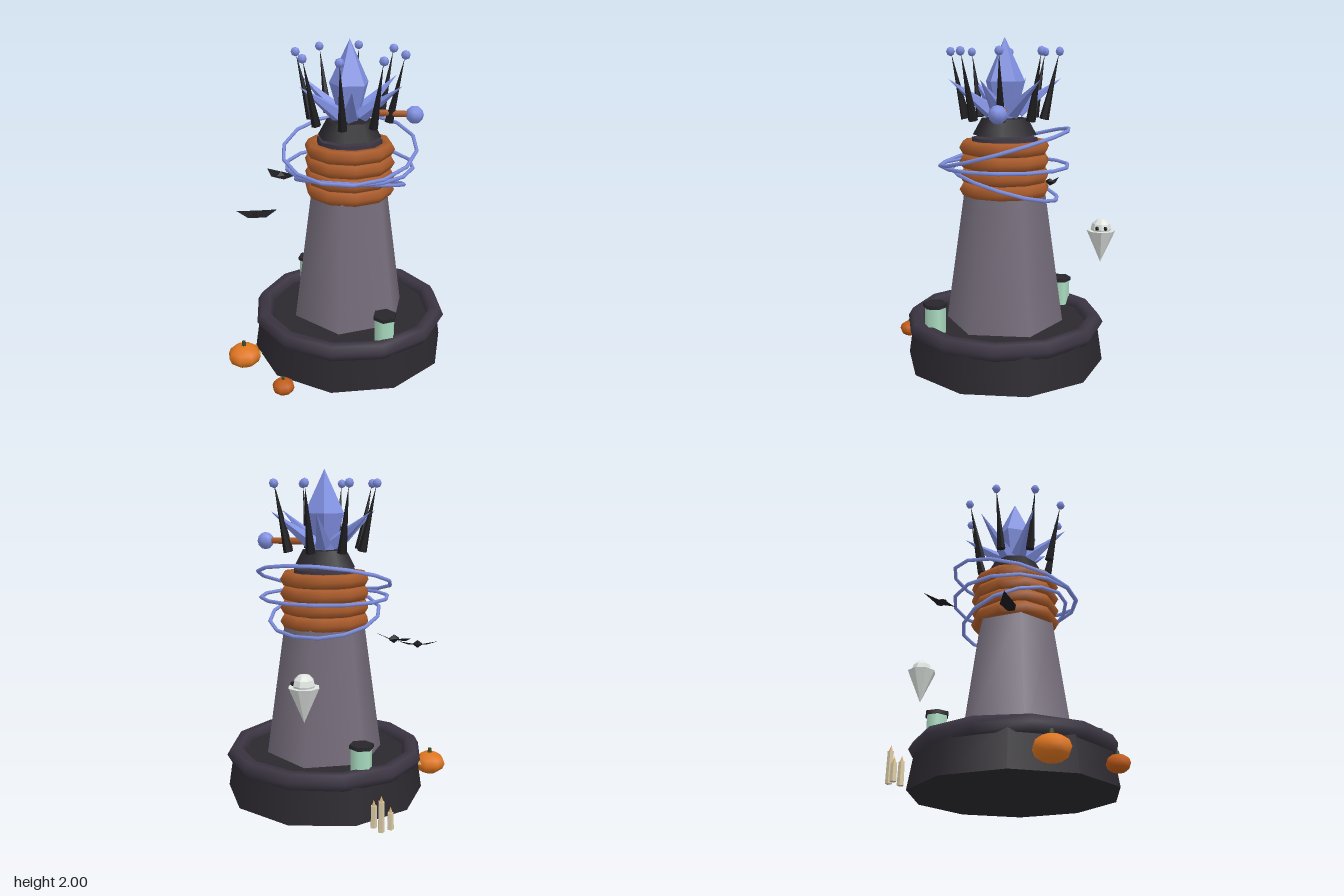
import * as THREE from 'three';

const AXIS = new THREE.Vector3(0.035, 0, -0.03); // tower axis
const UP = new THREE.Vector3(0, 1, 0);

const mat = (color, flatShading = false, side = THREE.FrontSide) =>
  new THREE.MeshStandardMaterial({ color, flatShading, side });
const M = {
  base: mat(0x2b282e), rim: mat(0x3b3542), stone: mat(0x756d7b),
  copper: mat(0xa85a2a), blue: mat(0x8090e2), crystal: mat(0x8090e2, true),
  black: mat(0x1c1b1f, true), lid: mat(0x28262b), jar: mat(0xaadcc0),
  pumpkin: mat(0xde751f), smallPumpkin: mat(0xbe5a17), stem: mat(0x3c4a25),
  glow: mat(0xd8b070, true), wax: mat(0xd8c8a4, true), ghost: mat(0xdfe4e0, true),
  bat: mat(0x1c1b1f, true, THREE.DoubleSide),
};

export function createModel() {
  const root = new THREE.Group();
  root.name = 'crystalTower';

  const add = (parent, name, geometry, material, x = 0, y = 0, z = 0) => {
    const mesh = new THREE.Mesh(geometry, material);
    mesh.name = name;
    mesh.position.set(x, y, z);
    parent.add(mesh);
    return mesh;
  };
  const group = (name, x = 0, y = 0, z = 0, parent = root) => {
    const g = new THREE.Group();
    g.name = name;
    g.position.set(x, y, z);
    parent.add(g);
    return g;
  };
  // frustum standing between two heights
  const frustum = (parent, name, material, rBottom, rTop, y0, y1, sides, x = 0, z = 0) =>
    add(parent, name, new THREE.CylinderGeometry(rTop, rBottom, y1 - y0, sides), material, x, (y0 + y1) / 2, z);
  // horizontal ring
  const ring = (parent, name, material, r, tube, y, radial, sides) => {
    const g = new THREE.TorusGeometry(r, tube, radial, sides);
    g.rotateX(Math.PI / 2);
    return add(parent, name, g, material, 0, y, 0);
  };
  // cone whose axis runs from a to b
  const spike = (parent, name, material, a, b, r, sides) => {
    const dir = b.clone().sub(a);
    const m = add(parent, name, new THREE.ConeGeometry(r, dir.length(), sides), material);
    m.position.copy(a).add(b).multiplyScalar(0.5);
    m.quaternion.setFromUnitVectors(UP, dir.normalize());
    return m;
  };
  const polar = (angle, r, y) => new THREE.Vector3(Math.cos(angle) * r, y, -Math.sin(angle) * r);

  const tower = group('tower', AXIS.x, 0, AXIS.z);

  // Plinth with its rim
  frustum(tower, 'plinth', M.base, 0.62, 0.582, 0, 0.25, 10);
  ring(tower, 'plinthRim', M.rim, 0.565, 0.055, 0.25, 6, 12);

  // Six-sided shaft, neck and cap
  frustum(tower, 'shaft', M.stone, 0.366, 0.25, 0.25, 1.07, 6);
  frustum(tower, 'neck', M.rim, 0.235, 0.2, 1.07, 1.405, 8);
  frustum(tower, 'cap', M.lid, 0.195, 0.14, 1.42, 1.52, 8);

  // Stacked coils
  for (let i = 0; i < 4; i++) ring(tower, 'coil', M.copper, 0.235, 0.045, 1.093 + i * 0.085, 6, 10);

  // Thin orbiting hoops: radius, height, tilt
  for (const [r, y, tilt] of [[0.41, 1.345, 0.275], [0.39, 1.235, 0], [0.34, 1.127, -0.285]])
    ring(tower, 'hoop', M.blue, r, 0.012, y, 5, 14).rotation.x = tilt;

  // Crown of spikes with a bead above each tip
  const crown = group('crown', 0, 0, 0, tower);
  for (let i = 0; i < 8; i++) {
    const a = (i * Math.PI) / 4;
    spike(crown, 'crownSpike', M.black, polar(a, 0.238, 1.515), polar(a, 0.322, 1.9), 0.029, 6);
    const p = polar(a, 0.327, 1.915);
    add(crown, 'crownBead', new THREE.SphereGeometry(0.028, 6, 4), M.blue, p.x, p.y, p.z);
  }

  // Main crystal and slanted shards around it
  const profile = [[0, 1.49], [0.055, 1.5], [0.125, 1.74], [0, 2]].map(([x, y]) => new THREE.Vector2(x, y));
  add(tower, 'crystal', new THREE.LatheGeometry(profile, 5), M.crystal).rotation.y = -Math.PI / 2;
  for (let i = 0; i < 6; i++) {
    const a = 0.73 + (i * Math.PI) / 3;
    spike(tower, 'crystalShard', M.crystal, polar(a, 0.08, 1.56), polar(a, 0.34, 1.755), 0.05, 5);
  }

  // Sideways rod with an orb
  const rod = add(tower, 'rod', new THREE.CylinderGeometry(0.023, 0.019, 0.32, 8), M.copper, 0.22, 1.568, 0);
  rod.rotation.z = Math.PI / 2;
  add(tower, 'rodOrb', new THREE.SphereGeometry(0.054, 8, 6), M.blue, 0.39, 1.566, 0);

  // Lidded jars on the deck
  for (const [x, z] of [[-0.313, -0.37], [0.32, 0.36]]) {
    const jar = group('jar', x, 0, z);
    frustum(jar, 'jarBody', M.jar, 0.064, 0.064, 0.25, 0.41, 6);
    frustum(jar, 'jarLid', M.lid, 0.073, 0.073, 0.41, 0.432, 6);
  }

  // Pumpkins
  const makePumpkin = (x, z, r, h, material) => {
    const g = group('pumpkin', x, 0, z);
    add(g, 'pumpkinBody', new THREE.SphereGeometry(r, 8, 6), material, 0, h / 2 + 0.005, 0).scale.y = h / (2 * r);
    frustum(g, 'pumpkinStem', M.stem, r * 0.16, r * 0.11, h * 0.95, h * 1.22, 5);
    return g;
  };
  makePumpkin(-0.24, 0.65, 0.067, 0.1, M.smallPumpkin);
  const big = makePumpkin(-0.557, 0.4, 0.104, 0.145, M.pumpkin);
  // carved face turned toward the tower
  const face = group('pumpkinFace', 0, 0, 0, big);
  face.rotation.y = 2.2;
  for (const [x, y, r] of [[-0.038, 0.098, 0.016], [0.038, 0.098, 0.016], [0, 0.05, 0.02]])
    add(face, 'carving', new THREE.ConeGeometry(r, r * 1.7, 3), M.glow, x, y, 0.088);

  // Candles: x, z, height
  for (const [x, z, h] of [[-0.525, -0.5, 0.1], [-0.485, -0.55, 0.18], [-0.43, -0.51, 0.13]]) {
    const candle = group('candle', x, 0, z);
    frustum(candle, 'candleWax', M.wax, 0.02, 0.018, 0, h, 5);
    add(candle, 'candleFlame', new THREE.ConeGeometry(0.012, 0.035, 5), M.glow, 0, h + 0.017, 0);
  }

  // Floating ghost looking toward +x
  const ghost = group('ghost', -0.06, 0, -0.628);
  add(ghost, 'ghostBody', new THREE.ConeGeometry(0.09, 0.205, 8), M.ghost, 0, 0.715, 0).rotation.x = Math.PI;
  add(ghost, 'ghostHead', new THREE.SphereGeometry(0.064, 8, 6), M.ghost, 0, 0.828, 0);
  for (const s of [-1, 1])
    add(ghost, 'ghostEye', new THREE.SphereGeometry(0.013, 6, 4), M.black, 0.056, 0.838, s * 0.026);

  // Bats with flat wings: x, y, z, yaw
  const wing = new THREE.BufferGeometry();
  wing.setAttribute('position', new THREE.Float32BufferAttribute(
    [0, 0.005, -0.045, 0, -0.008, 0.045, 0.055, -0.012, 0.035, 0.125, 0.02, -0.01], 3));
  wing.setIndex([0, 1, 2, 0, 2, 3]);
  wing.computeVertexNormals();
  for (const [x, y, z, yaw] of [[-0.475, 1.05, -0.29, -0.42], [-0.515, 0.937, 0.145, 0.3]]) {
    const bat = group('bat', x, y, z);
    bat.rotation.y = yaw;
    add(bat, 'batBody', new THREE.OctahedronGeometry(0.033), M.black).scale.set(1, 0.75, 1.4);
    for (const s of [-1, 1]) add(bat, 'batWing', wing, M.bat).scale.x = s;
  }

  return root;
}
